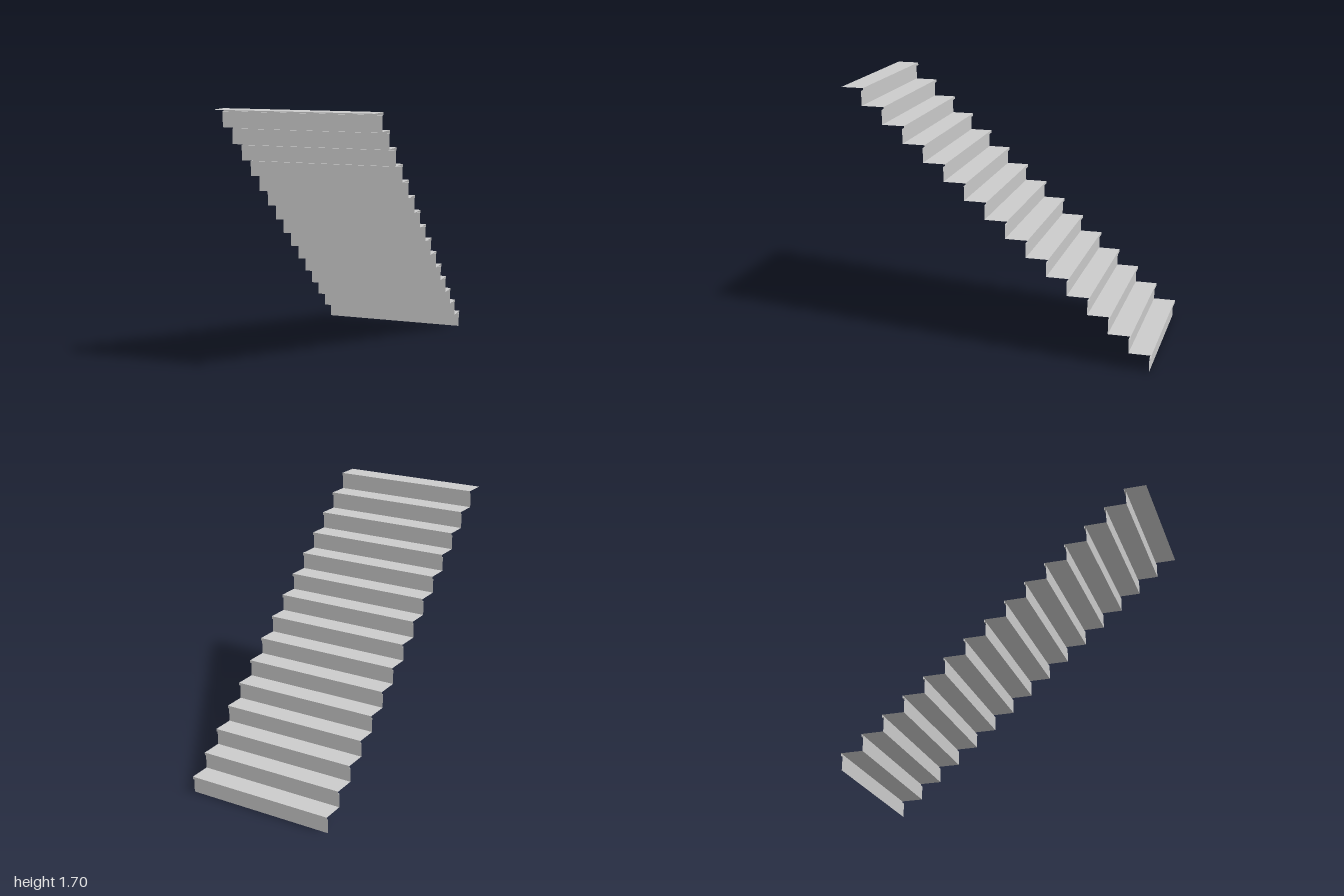
import * as THREE from 'three';

const STEPS = 15;
const WIDTH = 1;
const HEIGHT = 1.695;
const NOSING = 0.0125; // how far each tread overhangs its riser
const LIP = 0.018; // height of the nosing's front edge
const RISE = HEIGHT / STEPS;
const RUN = (2 - NOSING) / STEPS;

const material = new THREE.MeshStandardMaterial({ color: 0xcccccc, side: THREE.DoubleSide, flatShading: true });

// Flat sheet across the full width; from and to are [y, z] of its two long edges
function sheet(name, from, to) {
  const dy = to[0] - from[0];
  const dz = to[1] - from[1];
  const geometry = new THREE.PlaneGeometry(WIDTH, Math.hypot(dy, dz));
  geometry.rotateY(Math.PI); // face the foot of the stairs
  geometry.rotateX(Math.atan2(dz, dy));
  geometry.translate(0, (from[0] + to[0]) / 2, (from[1] + to[1]) / 2);
  const mesh = new THREE.Mesh(geometry, material);
  mesh.name = name;
  return mesh;
}

export function createModel() {
  const stairs = new THREE.Group();
  stairs.name = 'staircase';

  // The flight climbs from z = -1 to z = +1, open below and at the sides
  for (let i = 0; i < STEPS; i++) {
    const bottom = i * RISE;
    const top = bottom + RISE;
    const nose = -1 + i * RUN;
    const riser = nose + NOSING;

    const step = new THREE.Group();
    step.name = `step${i + 1}`;
    step.add(
      sheet('riser', [bottom, riser], [top - LIP, riser]),
      sheet('nosingUnderside', [top - LIP, riser], [top - LIP, nose]),
      sheet('nosingFront', [top - LIP, nose], [top, nose]),
      sheet('tread', [top, nose], [top, riser + RUN])
    );
    stairs.add(step);
  }
  return stairs;
}
